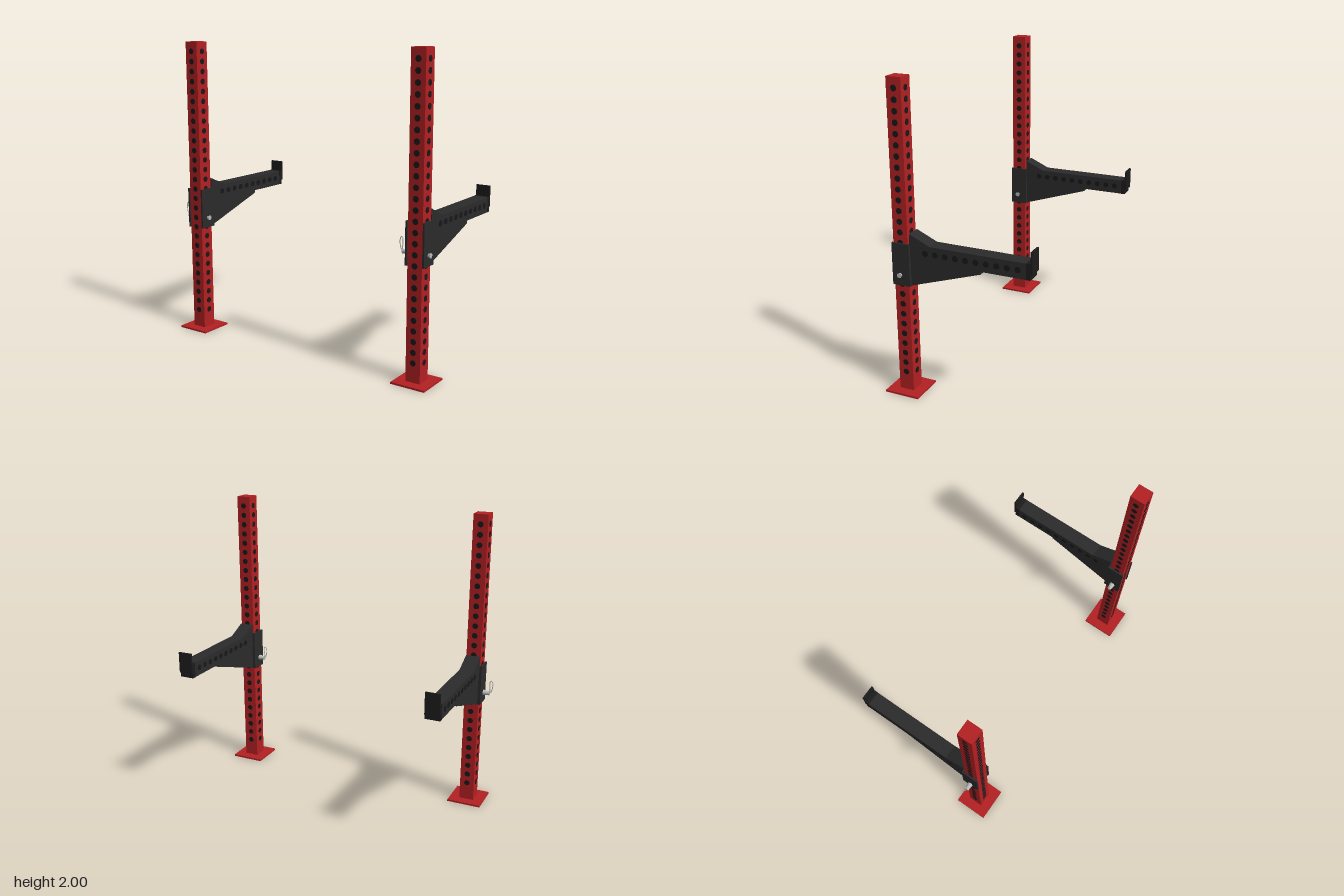
import * as THREE from 'three';

const mat = (name, color) => Object.assign(new THREE.MeshStandardMaterial({ color }), { name });

export function createModel() {
  const red = mat('red paint', 0xb32022);
  const charcoal = mat('charcoal steel', 0x2b2b2c);
  const black = mat('black cap', 0x1c1c1d);
  const dark = mat('dark hole', 0x18181a);
  const steel = mat('bright steel', 0xb8bab8);

  const add = (parent, name, geometry, material, x = 0, y = 0, z = 0) => {
    const mesh = new THREE.Mesh(geometry, material);
    mesh.name = name;
    mesh.position.set(x, y, z);
    parent.add(mesh);
    return mesh;
  };
  const box = (w, h, d) => new THREE.BoxGeometry(w, h, d);
  const rod = (r1, r2, length, sides = 16) =>
    new THREE.CylinderGeometry(r1, r2, length, sides).rotateZ(Math.PI / 2);
  // Side profile given as [z, y], extruded across x
  const sideProfile = (points, width) => {
    const shape = new THREE.Shape(points.map(([z, y]) => new THREE.Vector2(-z, y)));
    return new THREE.ExtrudeGeometry(shape, { depth: width, bevelEnabled: false })
      .translate(0, 0, -width / 2).rotateY(Math.PI / 2);
  };

  const Z = 0.37; // upright centre line
  const PITCH = 1.8 / 27;

  function createUnit(name, x) {
    const unit = new THREE.Group();
    unit.name = name;
    unit.position.x = x;

    // Upright with hole rows on all four faces
    add(unit, 'basePlate', box(0.23, 0.012, 0.23), red, 0, 0.006, Z);
    add(unit, 'upright', box(0.098, 1.988, 0.098), red, 0, 1.006, Z);
    const acrossX = rod(0.019, 0.019, 0.102);
    const acrossZ = acrossX.clone().rotateY(Math.PI / 2);
    for (let i = 0; i < 28; i++) {
      const y = 0.135 + i * PITCH;
      add(unit, 'uprightSideHole', acrossX, dark, 0, y, Z);
      add(unit, 'uprightFrontHole', acrossZ, dark, 0, y, Z);
    }

    // U-shaped bracket, open to the front
    for (const s of [-1, 1]) {
      add(unit, 'bracketSide', box(0.012, 0.27, 0.115), charcoal, s * 0.058, 0.866, 0.367);
    }
    add(unit, 'bracketBack', box(0.128, 0.27, 0.01), charcoal, 0, 0.866, 0.312);

    // Safety arm with gussets above and below
    add(unit, 'arm', box(0.096, 0.1, 0.76), charcoal, 0, 0.955, -0.07);
    add(unit, 'armEndCap', box(0.097, 0.101, 0.028), black, 0, 0.955, -0.462);
    add(unit, 'endStop', box(0.096, 0.14, 0.012), black, 0, 1.007, -0.481);
    add(unit, 'upperGusset', sideProfile([[0.31, 1.0], [0.31, 1.066], [0.17, 1.004], [0.17, 1.0]], 0.095), charcoal);
    add(unit, 'lowerGusset', sideProfile([[0.31, 0.906], [-0.16, 0.906], [-0.16, 0.886], [0.31, 0.732]], 0.09), charcoal);
    for (let i = 0; i < 10; i++) {
      add(unit, 'armHole', acrossX, dark, 0, 0.958, 0.203 - i * PITCH);
    }

    // Locking pin with tapered knob and wire loop
    const pin = new THREE.Group();
    pin.name = 'lockingPin';
    pin.position.set(0, 0.8, Z);
    unit.add(pin);
    add(pin, 'pinShaft', rod(0.012, 0.012, 0.17), steel, -0.005);
    add(pin, 'pinTip', rod(0.012, 0.016, 0.012), steel, 0.074);
    add(pin, 'pinKnob', rod(0.014, 0.019, 0.03), steel, -0.082);
    add(pin, 'pinHead', rod(0.014, 0.014, 0.014), steel, -0.103);
    const loop = new THREE.CatmullRomCurve3([
      [-0.104, 0], [-0.119, 0.012], [-0.128, 0.045], [-0.126, 0.078],
      [-0.117, 0.088], [-0.109, 0.076], [-0.109, 0.045], [-0.112, 0.018],
    ].map(([px, py]) => new THREE.Vector3(px, py, 0)), true);
    add(pin, 'wireLoop', new THREE.TubeGeometry(loop, 40, 0.003, 8, true), steel);
    return unit;
  }

  const model = new THREE.Group();
  model.name = 'safetyArmUprights';
  model.add(createUnit('rightUnit', -0.86), createUnit('leftUnit', 0.87));
  return model;
}
